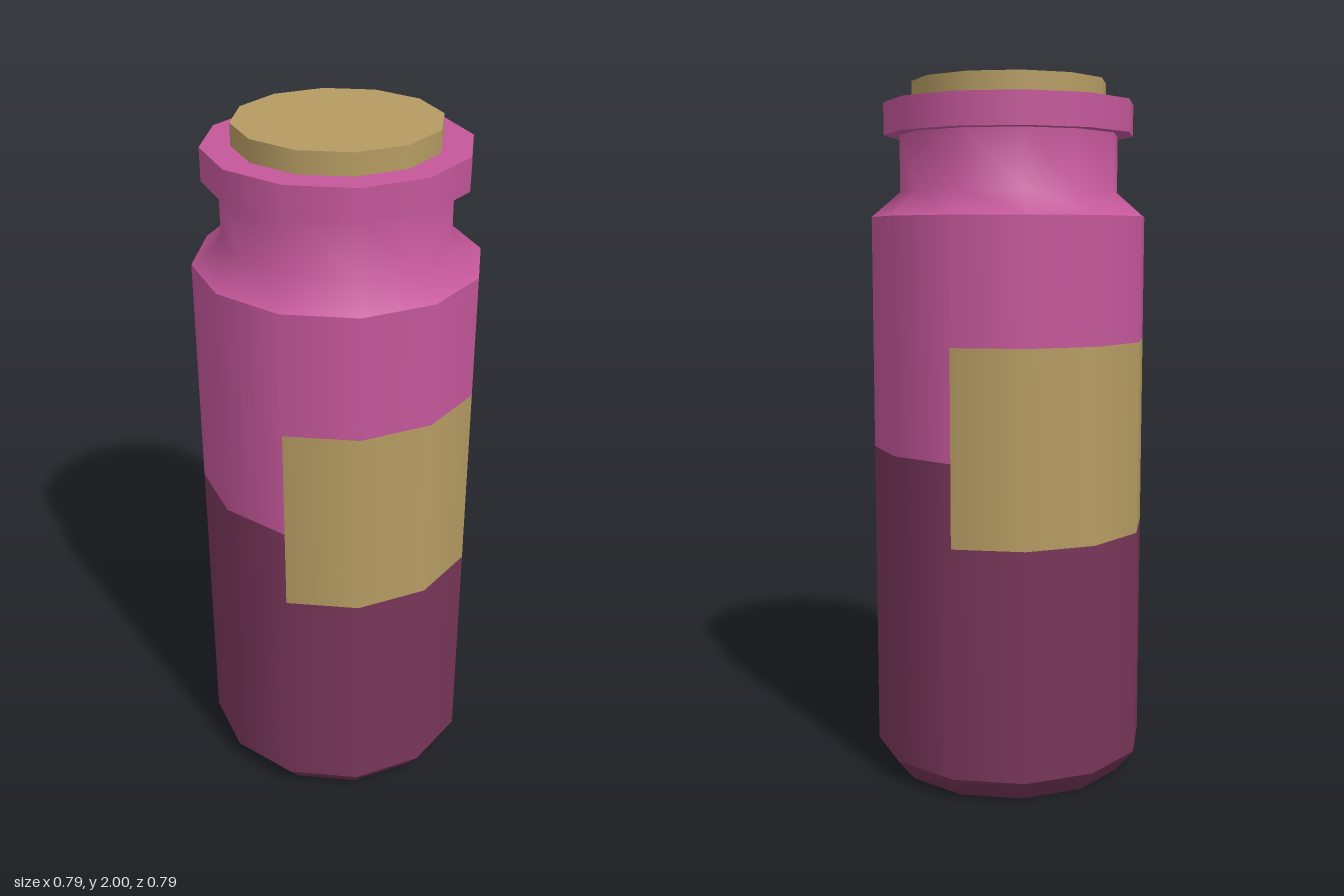
import * as THREE from 'three';

const SIDES = 12;
const STEP = (Math.PI * 2) / SIDES;
const R = 0.397; // body radius

export function createModel() {
  const mat = (name, color) => {
    const m = new THREE.MeshStandardMaterial({ color });
    m.name = name;
    return m;
  };
  const glass = mat('pink glass', 0xc4579a);
  const liquid = mat('dark plum liquid', 0x783659);
  const tan = mat('tan cork and paper', 0xb69c63);

  const model = new THREE.Group();
  model.name = 'bottle';

  // Turned strip: profile points run upwards, start and count are in twelfths of a turn
  const turn = (name, material, profile, start = 0, count = SIDES) => {
    const pts = profile.map(([x, y]) => new THREE.Vector2(x, y));
    const geo = new THREE.LatheGeometry(pts, count, start * STEP, count * STEP);
    const mesh = new THREE.Mesh(geo, material);
    mesh.name = name;
    model.add(mesh);
  };
  const band = (name, material, y0, y1, start, count) =>
    turn(name, material, [[R, y0], [R, y1]], start, count);

  // Base and lower body
  turn('base', liquid, [[0, 0], [0.345, 0], [R, 0.065]]);
  band('lowerBody', liquid, 0.065, 0.722);

  // Middle body: a wrapped label on each side, liquid level visible between them
  for (const [side, start] of [['left', 1], ['right', 7]]) {
    band(side + 'Label', tan, 0.722, 1.27, start, 4);
  }
  for (const [side, start] of [['front', -1], ['back', 5]]) {
    band(side + 'Liquid', liquid, 0.722, 0.957, start, 2);
    band(side + 'Glass', glass, 0.957, 1.27, start, 2);
  }

  // Upper body, then shoulder flowing smoothly into the neck
  band('upperBody', glass, 1.27, 1.62);
  turn('shoulderAndNeck', glass, [[R, 1.62], [0.315, 1.69], [0.315, 1.85]]);

  // Rim with sharp edges
  turn('rimUnderside', glass, [[0.315, 1.85], [0.36, 1.85]]);
  turn('rimSide', glass, [[0.36, 1.85], [0.36, 1.94]]);
  turn('rimTop', glass, [[0.36, 1.94], [0.27, 1.94]]);

  // Cork
  turn('corkSide', tan, [[0.279, 1.94], [0.279, 2]]);
  turn('corkTop', tan, [[0.279, 2], [0, 2]]);

  return model;
}
